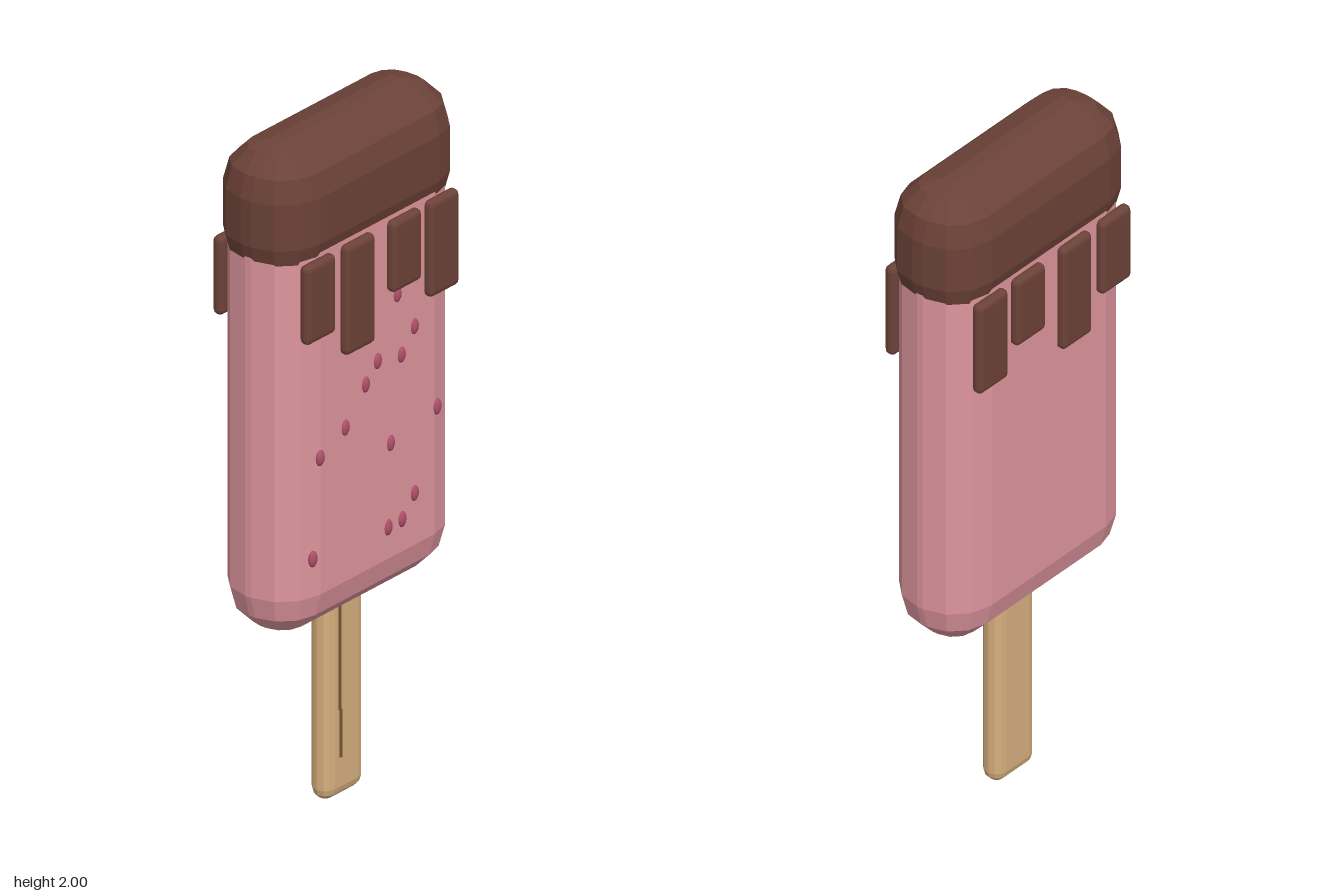
import * as THREE from 'three';

const mat = (name, color) => {
  const m = new THREE.MeshStandardMaterial({ color });
  m.name = name;
  return m;
};

// Box with faceted round edges: every corner is an eighth of a coarse sphere.
function bevelBox(w, h, d, r, seg = 3) {
  const rings = [];
  for (let half = 0; half < 2; half++) {
    for (let i = 0; i <= seg; i++) {
      const t = (half + i / seg) * Math.PI / 2;
      const ring = [];
      for (let q = 0; q < 4; q++) {
        const sx = q < 2 ? 1 : -1, sz = q === 0 || q === 3 ? 1 : -1, sy = half ? -1 : 1;
        for (let j = 0; j <= seg; j++) {
          const p = (q + j / seg) * Math.PI / 2;
          ring.push(new THREE.Vector3(
            sx * (w / 2 - r) + r * Math.sin(t) * Math.sin(p),
            sy * (h / 2 - r) + r * Math.cos(t),
            sz * (d / 2 - r) + r * Math.sin(t) * Math.cos(p)));
        }
      }
      rings.push(ring);
    }
  }
  const pos = [];
  const tri = (a, b, c) => {
    const n = b.clone().sub(a).cross(c.clone().sub(a));
    if (n.length() > 1e-9) for (const v of [a, b, c]) pos.push(v.x, v.y, v.z);
  };
  for (let i = 0; i + 1 < rings.length; i++) {
    const top = rings[i], low = rings[i + 1], n = top.length;
    for (let j = 0; j < n; j++) {
      const k = (j + 1) % n;
      tri(top[j], low[j], top[k]);
      tri(low[j], low[k], top[k]);
    }
  }
  // flat top and bottom
  const [a, b, c, e] = [0, 1, 2, 3].map(q => rings[0][q * (seg + 1)]);
  tri(a, b, c); tri(a, c, e);
  const [f, g, k, l] = [0, 1, 2, 3].map(q => rings[rings.length - 1][q * (seg + 1)]);
  tri(f, k, g); tri(f, l, k);
  const geo = new THREE.BufferGeometry();
  geo.setAttribute('position', new THREE.Float32BufferAttribute(pos, 3));
  geo.computeVertexNormals();
  return geo;
}

export function createModel() {
  const pink = mat('strawberry ice', 0xdf969e);
  const chocolate = mat('chocolate', 0x6c4238);
  const wood = mat('wood', 0xd6af7d);
  const grainDark = mat('wood grain', 0x7a5836);
  const berry = mat('berry seed', 0xb0506a);

  const model = new THREE.Group();
  model.name = 'iceCreamBar';
  const add = (name, geo, material, x, y, z, parent = model) => {
    const m = new THREE.Mesh(geo, material);
    m.name = name;
    m.position.set(x, y, z);
    parent.add(m);
    return m;
  };

  // Ice body, chocolate top and stick
  add('body', bevelBox(0.74, 1.37, 0.28, 0.13), pink, 0, 1.26, 0);
  add('chocolateCap', bevelBox(0.76, 0.394, 0.296, 0.13), chocolate, 0, 1.803, 0);
  add('stick', bevelBox(0.164, 0.68, 0.07, 0.033), wood, 0, 0.34, 0);

  // Grain line along the stick front, in two slightly offset pieces
  add('grainUpper', new THREE.BoxGeometry(0.008, 0.31, 0.008), grainDark, -0.03, 0.415, 0.035);
  add('grainLower', new THREE.BoxGeometry(0.008, 0.14, 0.008), grainDark, -0.026, 0.19, 0.035);

  // Chocolate drips, the same on front and back: centre x, bottom y
  const drips = new THREE.Group();
  drips.name = 'drips';
  model.add(drips);
  for (const [x, bottom] of [[-0.26, 1.465], [-0.095, 1.375], [0.1, 1.487], [0.257, 1.415]]) {
    const geo = bevelBox(0.123, 1.695 - bottom, 0.034, 0.015);
    for (const side of [1, -1]) {
      add(side > 0 ? 'frontDrip' : 'backDrip', geo, chocolate, x, (1.695 + bottom) / 2, side * 0.148, drips);
    }
  }

  // Berry seeds on the front
  const seeds = new THREE.Group();
  seeds.name = 'seeds';
  model.add(seeds);
  const seedGeo = new THREE.SphereGeometry(1, 10, 6).scale(0.016, 0.024, 0.01);
  const spots = [
    [0.083, 1.465], [0.155, 1.345], [0.1, 1.282], [0, 1.3], [-0.05, 1.25], [-0.135, 1.155], [-0.24, 1.105],
    [0.055, 1.04], [0.25, 1.075], [0.155, 0.857], [0.045, 0.797], [0.103, 0.8], [-0.27, 0.82],
  ];
  for (const [x, y] of spots) add('seed', seedGeo, berry, x, y, 0.139, seeds);

  return model;
}
